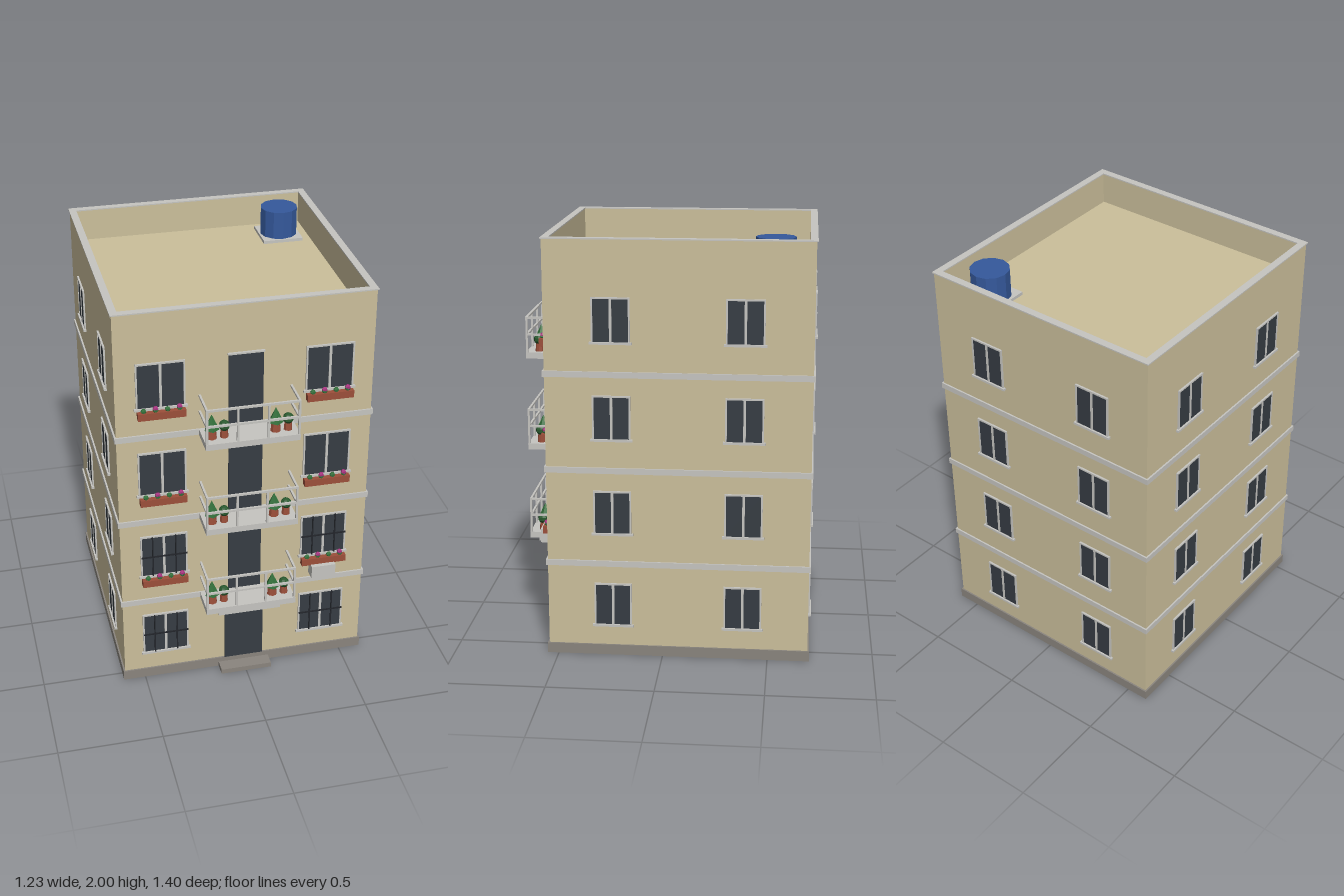
import * as THREE from 'three';

const mat = (name, color, flat = false) => {
  const m = new THREE.MeshStandardMaterial({ color, flatShading: flat });
  m.name = name;
  return m;
};

const HALF_W = 0.6, FRONT = 0.545, BACK = -0.69, ROOF = 1.84, STOREY = 0.4575;
const MID_Z = (FRONT + BACK) / 2, DEPTH = FRONT - BACK;

export function createModel() {
  const M = {
    wall: mat('wall plaster', 0xcbbf9b),
    trim: mat('light trim', 0xc6c5c1),
    base: mat('base stone', 0x8a857e),
    glass: mat('dark glass', 0x363c43),
    bars: mat('window bars', 0x22252a),
    clay: mat('terracotta', 0x9c4f3a, true),
    leaf: mat('leaf green', 0x33703b, true),
    bush: mat('bush green', 0x2a5a2f, true),
    flower: mat('flower pink', 0xa8337f, true),
    tank: mat('tank blue', 0x35599c, true),
  };
  const building = new THREE.Group();
  building.name = 'apartmentBuilding';

  const add = (parent, name, geo, material, x = 0, y = 0, z = 0) => {
    const mesh = new THREE.Mesh(geo, material);
    mesh.name = name;
    mesh.position.set(x, y, z);
    parent.add(mesh);
    return mesh;
  };
  // Box given by its ranges on each axis
  const box = (parent, name, material, x0, x1, y0, y1, z0, z1) =>
    add(parent, name, new THREE.BoxGeometry(x1 - x0, y1 - y0, z1 - z0), material,
      (x0 + x1) / 2, (y0 + y1) / 2, (z0 + z1) / 2);
  const group = (parent, name, x = 0, y = 0, z = 0) => {
    const g = new THREE.Group();
    g.name = name;
    g.position.set(x, y, z);
    parent.add(g);
    return g;
  };
  // Hollow rectangle, extruded upward
  const ring = (name, material, outX, outZ, inX, inZ, y0, y1) => {
    const rect = (C, a, b) => new C([[-a, -b], [a, -b], [a, b], [-a, b]].map(p => new THREE.Vector2(...p)));
    const shape = rect(THREE.Shape, outX, outZ);
    shape.holes.push(rect(THREE.Path, inX, inZ));
    const geo = new THREE.ExtrudeGeometry(shape, { depth: y1 - y0, bevelEnabled: false });
    geo.rotateX(-Math.PI / 2);
    add(building, name, geo, material, 0, y0, MID_Z);
  };

  // Main block, base, floor bands and parapet
  const e = 0.008;
  box(building, 'mainBlock', M.wall, -HALF_W, HALF_W, 0.05, ROOF, BACK, FRONT);
  box(building, 'base', M.base, -HALF_W - e, HALF_W + e, 0, 0.05, BACK - e, FRONT + e);
  for (let i = 1; i < 4; i++) {
    const y = i * STOREY - 0.012;
    box(building, 'floorBand', M.trim, -HALF_W - e, HALF_W + e, y, y + 0.028, BACK - e, FRONT + e);
  }
  ring('parapet', M.wall, HALF_W, DEPTH / 2, HALF_W - 0.027, DEPTH / 2 - 0.027, ROOF, 1.994);
  ring('parapetCap', M.trim, HALF_W + 0.006, DEPTH / 2 + 0.006, HALF_W - 0.029, DEPTH / 2 - 0.029, 1.994, 2);

  // Water tank on its slab
  box(building, 'tankSlab', M.trim, 0.328, 0.528, ROOF, ROOF + 0.015, -0.606, -0.405);
  add(building, 'waterTank', new THREE.CylinderGeometry(0.093, 0.093, 0.138, 12), M.tank, 0.428, 1.924, -0.506);

  // Window in wall coordinates: z = 0 is the wall face, y = 0 the sill top
  const makeWindow = (parent, x, y, w, h, barred) => {
    const g = group(parent, 'window', x, y, 0);
    const a = w / 2;
    box(g, 'glass', M.glass, -a, a, 0, h, 0, 0.005);
    box(g, 'mullion', M.trim, -0.006, 0.006, 0, h, 0, 0.008);
    for (const s of [-1, 1]) {
      const c = s * (a - 0.002);
      box(g, 'jamb', M.trim, c - 0.004, c + 0.004, 0, h, 0, 0.008);
    }
    box(g, 'head', M.trim, -a - 0.002, a + 0.002, h - 0.003, h + 0.005, 0, 0.009);
    box(g, 'sill', M.trim, -a - 0.011, a + 0.011, -0.009, 0.002, 0, 0.014);
    if (barred) {
      for (const s of [-1, 1]) box(g, 'bar', M.bars, s * a / 2 - 0.003, s * a / 2 + 0.003, 0.002, h + 0.002, 0.01, 0.016);
      box(g, 'crossBar', M.bars, -a, a, h / 2 - 0.003, h / 2 + 0.003, 0.01, 0.016);
    }
  };

  const walls = {
    front: group(building, 'frontWall', 0, 0, FRONT),
    back: group(building, 'backWall', 0, 0, BACK),
    left: group(building, 'leftWall', HALF_W, 0, MID_Z),
    right: group(building, 'rightWall', -HALF_W, 0, MID_Z),
  };
  walls.back.rotation.y = Math.PI;
  walls.left.rotation.y = Math.PI / 2;
  walls.right.rotation.y = -Math.PI / 2;
  const front = walls.front;

  // Planter box with four alternating plants
  const makePlanter = (x, y) => {
    const g = group(front, 'flowerBox', x, y, 0);
    box(g, 'planter', M.clay, -0.11, 0.11, -0.045, -0.01, 0.006, 0.038);
    for (let i = 0; i < 4; i++) {
      const px = -0.082 + i * 0.055;
      add(g, 'foliage', new THREE.IcosahedronGeometry(0.014, 0), M.leaf, px, -0.004, 0.022);
      if (i % 2) add(g, 'blossom', new THREE.IcosahedronGeometry(0.014, 0), M.flower, px, 0.004, 0.022);
    }
  };

  // Potted tree and potted bush
  const makePots = (parent, x) => {
    const g = group(parent, 'pottedPlants', x, 0, 0.094);
    for (const px of [0, 0.058]) {
      const r = px ? 0.02 : 0.024;
      add(g, 'pot', new THREE.CylinderGeometry(r * 0.8, r, 0.05, 8), M.clay, px, 0.025, 0);
    }
    add(g, 'smallTree', new THREE.ConeGeometry(0.036, 0.075, 5), M.leaf, 0, 0.083, 0);
    add(g, 'smallBush', new THREE.SphereGeometry(0.026, 8, 5), M.bush, 0.058, 0.058, 0.002);
  };

  // Balcony: slab, railing and plants; y = 0 is the slab top
  const makeBalcony = (y) => {
    const g = group(front, 'balcony', 0, y, 0);
    const X = 0.213, Z = 0.148, t = 0.005;
    box(g, 'slab', M.trim, -0.219, 0.219, -0.03, 0, 0, 0.154);
    for (const px of [-X, -X / 3, X / 3, X]) box(g, 'railPost', M.trim, px - t, px + t, 0, 0.17, Z - t, Z + t);
    for (const ry of [0.088, 0.17]) {
      box(g, 'frontRail', M.trim, -X - t, X + t, ry - t, ry + t, Z - t, Z + t);
      for (const s of [-1, 1]) box(g, 'sideRail', M.trim, s * X - t, s * X + t, ry - t, ry + t, 0, Z - t);
    }
    makePots(g, -0.18);
    makePots(g, 0.117);
  };

  const makeDoor = (name, half, y0, y1) => {
    const g = group(front, name);
    box(g, 'doorPanel', M.glass, -half, half, y0, y1, 0, 0.009);
    box(g, 'doorHead', M.trim, -half - 0.006, half + 0.006, y1, y1 + 0.008, 0, 0.012);
  };

  // Openings on every storey
  for (let i = 0; i < 4; i++) {
    const sill = 0.153 + i * STOREY;
    for (const s of [-1, 1]) {
      makeWindow(front, s * 0.392, sill, 0.222, 0.22, i < 2);
      if (i > 0) makePlanter(s * 0.392, sill);
      makeWindow(walls.back, s * 0.302, sill, 0.174, 0.203, false);
      makeWindow(walls.left, s * 0.307, sill, 0.174, 0.203, false);
      makeWindow(walls.right, s * 0.307, sill, 0.174, 0.203, false);
    }
    if (i > 0) {
      const floor = i * STOREY + 0.016;
      makeDoor('balconyDoor', 0.08, floor, i * STOREY + 0.378);
      makeBalcony(floor);
    }
  }

  // Entrance door, canopy, step and wall unit
  makeDoor('entranceDoor', 0.096, 0.05, 0.378);
  box(front, 'canopy', M.trim, -0.152, 0.152, 0.405, 0.421, 0, 0.123);
  box(front, 'entranceStep', M.base, -0.127, 0.127, 0, 0.025, 0, 0.073);
  box(front, 'wallUnit', M.trim, 0.326, 0.445, 0.5, 0.568, 0, 0.06);

  return building;
}
